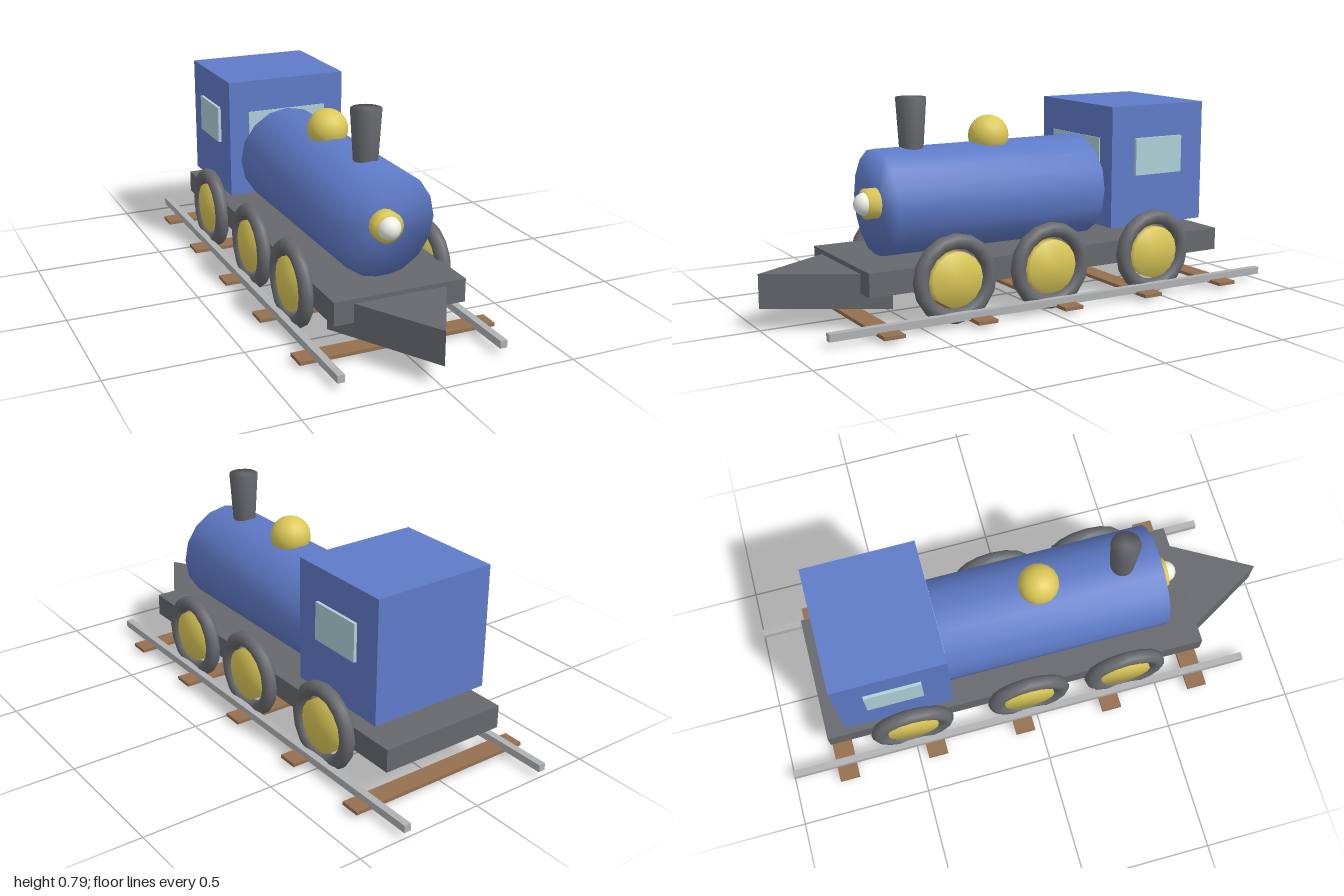
import * as THREE from 'three';
import { mergeVertices } from 'three/addons/utils/BufferGeometryUtils.js';

const material = (color, flatShading = false) => new THREE.MeshStandardMaterial({ color, flatShading });

// Cylinder whose normals run smoothly over the rims, giving softly rounded ends
function softCylinder(rTop, rBottom, height, sides = 16) {
  let g = new THREE.CylinderGeometry(rTop, rBottom, height, sides);
  g.deleteAttribute('normal');
  g.deleteAttribute('uv');
  g = mergeVertices(g);
  g.computeVertexNormals();
  return g;
}

export function createModel() {
  const model = new THREE.Group();
  model.name = 'toyTrain';

  const blue = material(0x5f7bc8);
  const yellow = material(0xdcc958);
  const dark = material(0x66686c);
  const darkFlat = material(0x66686c, true);
  const glass = material(0xafd0d8);
  const white = material(0xf0f0ea);
  const steel = material(0xb0b2b4);
  const wood = material(0x94704f);

  function add(name, geometry, mat, x, y, z, parent = model) {
    const mesh = new THREE.Mesh(geometry, mat);
    mesh.name = name;
    mesh.position.set(x, y, z);
    parent.add(mesh);
    return mesh;
  }
  // Box given by its extents
  function box(name, mat, [x0, x1], [y0, y1], [z0, z1], parent) {
    return add(name, new THREE.BoxGeometry(x1 - x0, y1 - y0, z1 - z0), mat,
      (x0 + x1) / 2, (y0 + y1) / 2, (z0 + z1) / 2, parent);
  }

  // Chassis and wedge-shaped plough at the front
  box('chassis', dark, [-0.252, 0.252], [0.134, 0.221], [-0.823, 0.693]);
  add('plough', new THREE.CylinderGeometry(0.269, 0.269, 0.125, 3), darkFlat, 0, 0.142, 0.731);

  // Boiler
  add('boiler', softCylinder(0.197, 0.197, 0.87), blue, 0, 0.413, 0.115).rotation.x = Math.PI / 2;

  // Cab with side and front windows
  box('cab', blue, [-0.242, 0.242], [0.27, 0.735], [-0.745, -0.317]);
  box('sideWindows', glass, [-0.254, 0.254], [0.467, 0.61], [-0.637, -0.422]);
  box('frontWindow', glass, [-0.162, 0.162], [0.467, 0.61], [-0.4, -0.313]);

  // Chimney, dome and headlamp
  add('chimney', softCylinder(0.0565, 0.0425, 0.22), dark, 0, 0.679, 0.405);
  add('dome', new THREE.SphereGeometry(0.077, 16, 12), yellow, 0, 0.629, 0.083);
  add('lampHousing', softCylinder(0.0565, 0.0565, 0.07), yellow, 0, 0.412, 0.56).rotation.x = Math.PI / 2;
  add('lampBulb', new THREE.SphereGeometry(0.042, 16, 12), white, 0, 0.412, 0.594);

  // Six wheels: rubber-like tyre around a solid hub disc
  const tyre = new THREE.TorusGeometry(0.137, 0.028, 12, 16).rotateY(Math.PI / 2);
  const hub = softCylinder(0.1, 0.1, 0.04).rotateZ(Math.PI / 2);
  for (const side of [-1, 1]) {
    for (const z of [0.37, -0.025, -0.495]) {
      const wheel = new THREE.Group();
      wheel.name = 'wheel';
      wheel.position.set(side * 0.27, 0.166, z);
      model.add(wheel);
      add('tyre', tyre, dark, 0, 0, 0, wheel);
      add('hub', hub, yellow, 0, 0, 0, wheel);
    }
  }

  // Track
  const track = new THREE.Group();
  track.name = 'track';
  model.add(track);
  for (const x of [-0.306, 0.306]) {
    box('rail', steel, [x - 0.0135, x + 0.0135], [0.023, 0.051], [-1, 0.87], track);
  }
  for (let i = 0; i < 5; i++) {
    const z = -0.787 + i * 0.361;
    box('sleeper', wood, [-0.377, 0.377], [0.016, 0.029], [z - 0.039, z + 0.039], track);
  }

  return model;
}
